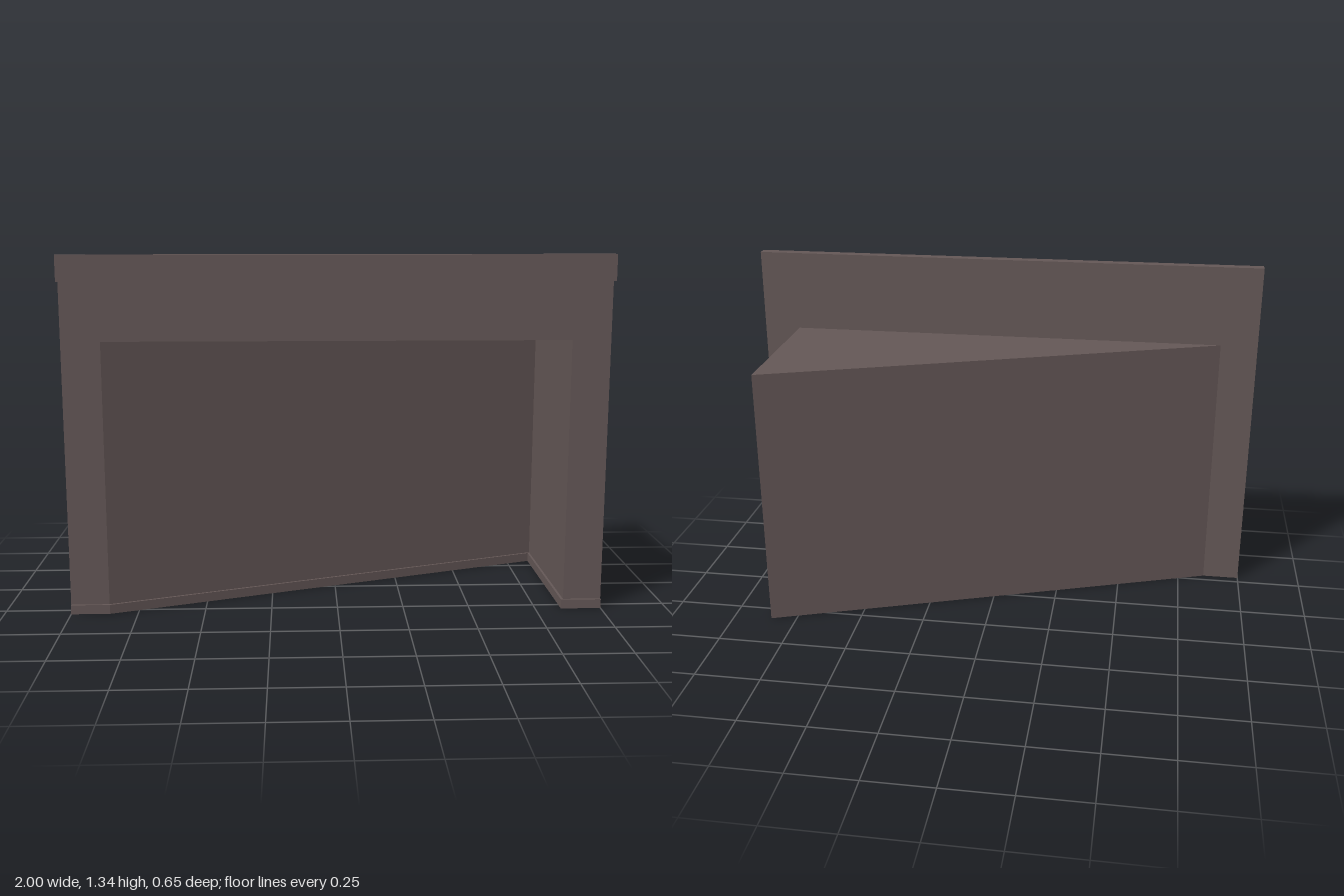
import * as THREE from 'three';

// Flat-shaded sheet stretched between two matching polylines of [x, y, z] points
function sheet(a, b) {
  const pos = [];
  for (let i = 0; i < a.length - 1; i++) {
    pos.push(...a[i], ...a[i + 1], ...b[i + 1], ...a[i], ...b[i + 1], ...b[i]);
  }
  const geo = new THREE.BufferGeometry();
  geo.setAttribute('position', new THREE.Float32BufferAttribute(pos, 3));
  geo.computeVertexNormals();
  return geo;
}

// Lift a plan path of [x, z] points to height y
const at = (path, y) => path.map(([x, z]) => [x, y, z]);

export function createModel() {
  const group = new THREE.Group();
  const plaster = new THREE.MeshStandardMaterial({ color: 0x665958, side: THREE.DoubleSide });
  plaster.name = 'brownGrey';
  const add = (name, geo) => {
    const mesh = new THREE.Mesh(geo, plaster);
    mesh.name = name;
    group.add(mesh);
  };

  const front = 0.285, height = 1.335, open = 0.857, lintel = 1.023;
  const left = [-open, front], corner = [0.85, -0.325], right = [open, front];

  // Front wall with a wide opening that reaches the ground
  const wall = new THREE.Shape([
    [-1, 0], [-open, 0], [-open, lintel], [open, lintel],
    [open, 0], [1, 0], [1, height], [-1, height],
  ].map(([x, y]) => new THREE.Vector2(x, y)));
  add('frontWall', new THREE.ShapeGeometry(wall).translate(0, 0, front));

  // Wedge-shaped recess: slanted back wall, short side wall and ceiling
  const tops = [[left[0], lintel, left[1]], [corner[0], 1.019, corner[1]], [right[0], lintel, right[1]]];
  add('recessBackWall', sheet(at([left, corner], 0), tops.slice(0, 2)));
  add('recessSideWall', sheet(at([corner, right], 0), tops.slice(1)));
  const ceiling = new THREE.BufferGeometry();
  ceiling.setAttribute('position', new THREE.Float32BufferAttribute([...tops[0], ...tops[2], ...tops[1]], 3));
  ceiling.computeVertexNormals();
  add('recessCeiling', ceiling);

  // Hollow beam along the top, open at both ends
  const beam = [[height, front], [height, 0.325], [1.24, 0.325], [1.24, front]];
  add('topBeam', sheet(beam.map(([y, z]) => [-1, y, z]), beam.map(([y, z]) => [1, y, z])));

  // Skirting that follows the wall and the inside of the recess
  const inner = [[-1, front], left, corner, right, [1, front]];
  const outer = [[-1, 0.294], [-0.855, 0.294], [0.842, -0.313], [0.848, 0.294], [1, 0.294]];
  add('skirtingFace', sheet(at(outer, 0), at(outer, 0.035)));
  add('skirtingTop', sheet(at(outer, 0.035), at(inner, 0.035)));

  return group;
}
